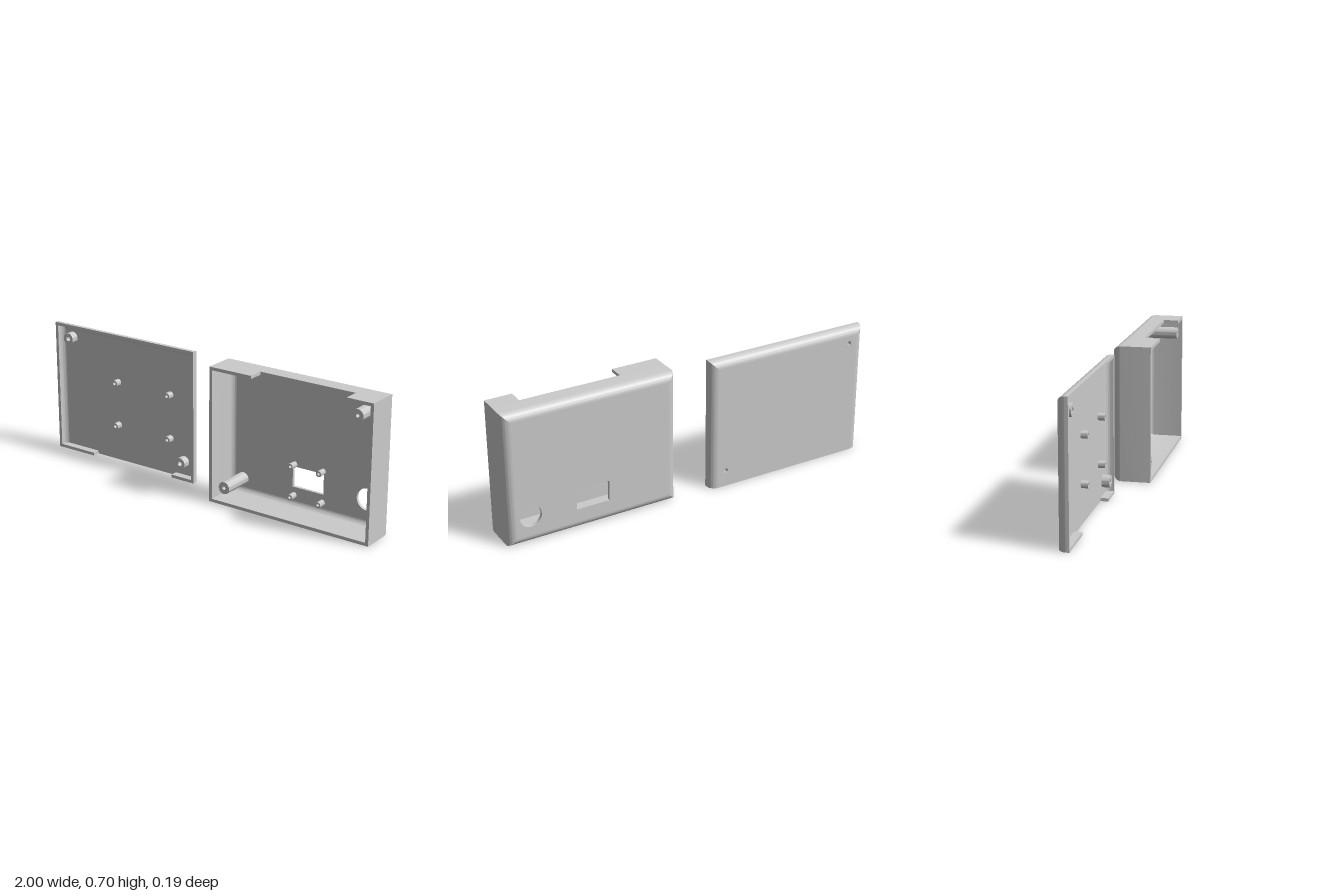
import * as THREE from 'three';
import { toCreasedNormals } from 'three/addons/utils/BufferGeometryUtils.js';

const material = new THREE.MeshStandardMaterial({ color: 0xcccccc });
const T = 0.016; // wall thickness
const R = 0.042; // outer edge radius
const BACK = -0.097; // outside of both floors

function add(group, name, geometry) {
  const mesh = new THREE.Mesh(geometry, material);
  mesh.name = name;
  group.add(mesh);
  return mesh;
}

function extrude(shape, depth) {
  const geo = new THREE.ExtrudeGeometry(shape, { depth, bevelEnabled: false, curveSegments: 14 });
  return toCreasedNormals(geo, 0.5);
}

function rectPath(path, x0, x1, y0, y1) {
  path.moveTo(x0, y0);
  path.lineTo(x1, y0);
  path.lineTo(x1, y1);
  path.lineTo(x0, y1);
  path.closePath();
  return path;
}

const circlePath = (path, x, y, r) => path.absarc(x, y, r, 0, Math.PI * 2, false);

// Wall with a rounded back edge: an extruded profile whose ends may be mitred.
// Profile x is the distance inward from the outside, y is the model's z.
function roundedWall(group, name, origin, inward, length, front, miterStart, miterEnd) {
  const zc = BACK + R;
  const shape = new THREE.Shape();
  shape.moveTo(0, front);
  shape.lineTo(0, zc);
  shape.absarc(R, zc, R, Math.PI, Math.PI * 1.5, false);
  shape.lineTo(R, BACK + T);
  shape.absarc(R, zc, R - T, Math.PI * 1.5, Math.PI, true);
  shape.lineTo(T, front);
  shape.closePath();
  const geo = new THREE.ExtrudeGeometry(shape, { depth: length, bevelEnabled: false, curveSegments: 10 });
  const p = geo.attributes.position;
  for (let i = 0; i < p.count; i++) {
    const d = p.getX(i), s = p.getZ(i);
    if (s < length / 2) p.setZ(i, s + (miterStart ? d : 0));
    else p.setZ(i, s - (miterEnd ? d : 0));
  }
  const inDir = new THREE.Vector3(inward[0], inward[1], 0);
  const zDir = new THREE.Vector3(0, 0, 1);
  const along = new THREE.Vector3().crossVectors(inDir, zDir);
  const m = new THREE.Matrix4().makeBasis(inDir, zDir, along);
  m.setPosition(origin[0], origin[1], 0);
  geo.applyMatrix4(m);
  add(group, name, toCreasedNormals(geo, 0.5));
}

function block(group, name, x0, x1, y0, y1, z0, z1) {
  const mesh = add(group, name, new THREE.BoxGeometry(x1 - x0, y1 - y0, z1 - z0));
  mesh.position.set((x0 + x1) / 2, (y0 + y1) / 2, (z0 + z1) / 2);
}

// Hollow screw post standing on the inside of the floor
function post(group, name, x, y, r, hole, top) {
  const shape = circlePath(new THREE.Shape(), 0, 0, r);
  shape.holes.push(circlePath(new THREE.Path(), 0, 0, hole));
  add(group, name, extrude(shape, top - BACK - T)).position.set(x, y, BACK + T);
}

function floor(group, x0, x1, y0, y1, holes) {
  const shape = rectPath(new THREE.Shape(), x0, x1, y0, y1);
  shape.holes.push(...holes);
  add(group, 'floor', extrude(shape, T)).position.z = BACK;
}

// Deep half with window, round opening and a cut-out in the top wall
function createBox() {
  const g = new THREE.Group();
  g.name = 'caseBox';
  const x0 = 0.1, x1 = 1, y0 = 0.003, y1 = 0.697, front = 0.097, notch = 0.018;
  const w = x1 - x0, h = y1 - y0;
  roundedWall(g, 'rightWall', [x0, y1], [1, 0], h, front, true, true);
  roundedWall(g, 'leftWall', [x1, y0], [-1, 0], h, front, true, true);
  roundedWall(g, 'bottomWall', [x0, y0], [0, 1], w, front, true, true);
  roundedWall(g, 'topWall', [x1, y1], [0, -1], w, notch, true, true);
  for (const [a, b] of [[x0, 0.34], [0.86, x1]]) {
    block(g, 'topWallEnd', a, b, y1 - T, y1, notch, front);
  }
  floor(g, x0 + R, x1 - R, y0 + R, y1 - R, [
    rectPath(new THREE.Path(), 0.47, 0.645, 0.112, 0.218),
    circlePath(new THREE.Path(), 0.884, 0.147, 0.056),
  ]);
  for (const [x, y] of [[0.912, 0.618], [0.18, 0.087]]) {
    post(g, 'casePost', x, y, 0.031, 0.009, 0.085);
  }
  for (const x of [0.48, 0.64]) {
    for (const y of [0.07, 0.23]) post(g, 'windowPost', x, y, 0.015, 0.007, -0.04);
  }
  return g;
}

// Shallow half with a square lower edge and a cut-out in the bottom wall
function createLid() {
  const g = new THREE.Group();
  g.name = 'caseLid';
  const x0 = -1, x1 = -0.1, y0 = 0, y1 = 0.697, front = -0.042;
  const h = y1 - y0;
  roundedWall(g, 'rightWall', [x0, y1], [1, 0], h, front, true, false);
  roundedWall(g, 'leftWall', [x1, y0], [-1, 0], h, front, false, true);
  roundedWall(g, 'topWall', [x1, y1], [0, -1], x1 - x0, front, true, true);
  for (const [a, b] of [[x0 + T, -0.76], [-0.24, x1 - T]]) {
    block(g, 'bottomWallEnd', a, b, y0, y0 + T, BACK + T, front);
  }
  const corners = [[-0.916, 0.618], [-0.187, 0.087]];
  floor(g, x0 + R, x1 - R, y0, y1 - R,
    corners.map(([x, y]) => circlePath(new THREE.Path(), x, y, 0.012)));
  for (const [x, y] of corners) post(g, 'lidPost', x, y, 0.031, 0.012, -0.042);
  for (const x of [-0.612, -0.272]) {
    for (const y of [0.195, 0.43]) post(g, 'boardPost', x, y, 0.018, 0.008, -0.047);
  }
  return g;
}

export function createModel() {
  const model = new THREE.Group();
  model.name = 'twoPartCase';
  model.add(createBox(), createLid());
  return model;
}
